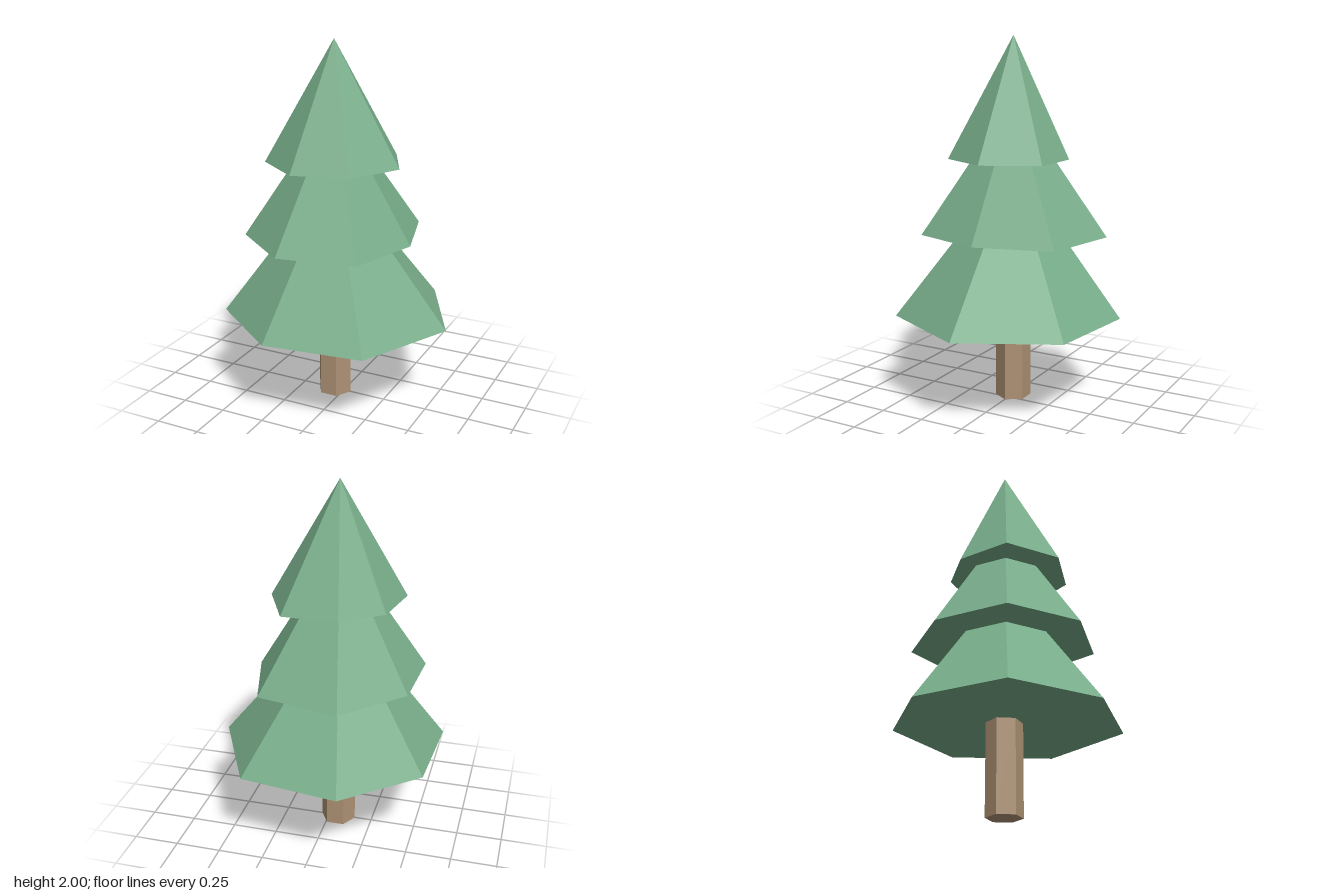
import * as THREE from 'three';

const SIDES = 7;
const STEP = (Math.PI * 2) / SIDES;
const AXIS_X = -0.055;

// Closed seven-sided cone whose corners reach out by slightly different radii
function tierGeometry(radii, base, apex) {
  const cone = new THREE.ConeGeometry(1, apex - base, SIDES, 1, false, Math.PI / 2);
  const pos = cone.attributes.position;
  for (let i = 0; i < pos.count; i++) {
    const x = pos.getX(i), z = pos.getZ(i);
    if (Math.hypot(x, z) < 0.01) continue;
    const corner = (Math.round(Math.atan2(z, x) / STEP) + SIDES) % SIDES;
    pos.setX(i, x * radii[corner]);
    pos.setZ(i, z * radii[corner]);
  }
  const flat = cone.toNonIndexed();
  flat.computeVertexNormals();
  flat.translate(0, (base + apex) / 2, 0);
  return flat;
}

export function createModel() {
  const foliage = new THREE.MeshStandardMaterial({ color: 0x78ad8a, flatShading: true });
  foliage.name = 'foliage green';
  const bark = new THREE.MeshStandardMaterial({ color: 0xae9274, flatShading: true });
  bark.name = 'bark brown';

  const tree = new THREE.Group();
  tree.name = 'pineTree';

  // Hexagonal trunk, ending just inside the lowest tier
  const trunk = new THREE.Mesh(
    new THREE.CylinderGeometry(0.097, 0.097, 0.52, 6, 1, false, Math.PI / 2), bark);
  trunk.name = 'trunk';
  trunk.position.set(AXIS_X, 0.26, 0);
  tree.add(trunk);

  // Overlapping foliage tiers; radii run from +x round towards +z
  const tiers = [
    { name: 'lowerFoliage', base: 0.495, apex: 1.31, radii: [0.66, 0.651, 0.595, 0.612, 0.577, 0.6, 0.651] },
    { name: 'middleFoliage', base: 0.94, apex: 1.67, radii: [0.445, 0.504, 0.482, 0.488, 0.461, 0.518, 0.529] },
    { name: 'topFoliage', base: 1.35, apex: 2, radii: [0.375, 0.355, 0.359, 0.37, 0.308, 0.308, 0.377] },
  ];
  for (const { name, base, apex, radii } of tiers) {
    const tier = new THREE.Mesh(tierGeometry(radii, base, apex), foliage);
    tier.name = name;
    tier.position.x = AXIS_X;
    tree.add(tier);
  }
  return tree;
}
